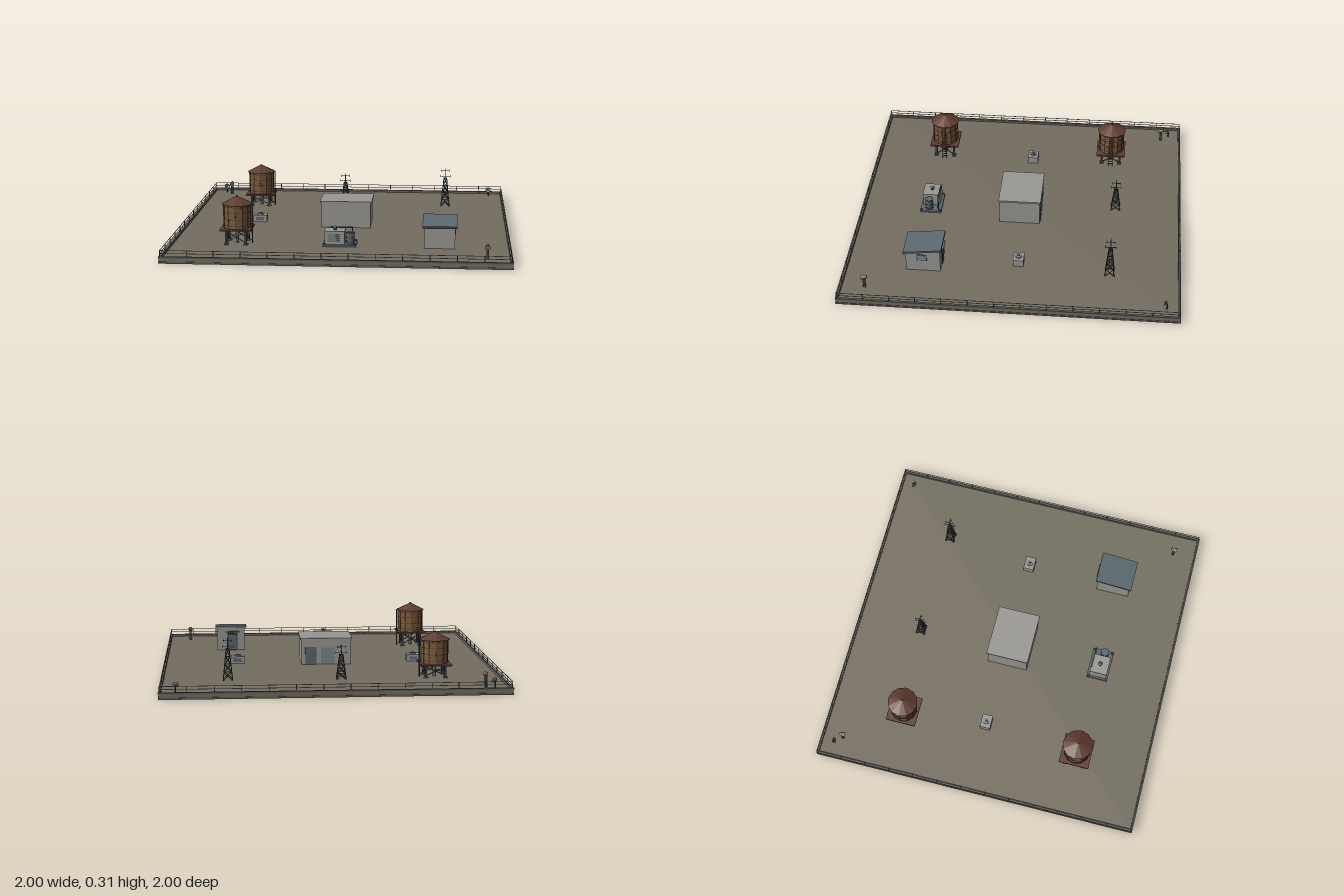
import * as THREE from 'three';

const mat = (name, color, side = THREE.FrontSide) =>
  Object.assign(new THREE.MeshStandardMaterial({ color, side }), { name });

export function createModel() {
  const M = {
    floor: mat('roof gravel', 0x746e60),
    concrete: mat('pale concrete', 0x999894),
    dark: mat('dark steel', 0x3b4045),
    coping: mat('grey coping', 0x5f5d58),
    rail: mat('galvanised metal', 0x8a8d8e),
    wood: mat('tank wood', 0x7a5a38),
    rust: mat('rusty roof', 0x5f3c31),
    slate: mat('blue grey metal', 0x5c6870),
    glass: mat('window panel', 0x76868f),
    brass: mat('lamp tan', 0x8a7355, THREE.DoubleSide),
  };
  const FLOOR = 0.025;
  const root = new THREE.Group();
  root.name = 'rooftop';

  const group = (name, x = 0, z = 0, y = FLOOR) => {
    const g = new THREE.Group();
    g.name = name;
    g.position.set(x, y, z);
    root.add(g);
    return g;
  };
  const add = (parent, name, geo, material, x = 0, y = 0, z = 0) => {
    const m = new THREE.Mesh(geo, material);
    m.name = name;
    m.position.set(x, y, z);
    parent.add(m);
    return m;
  };
  // Boxes and cylinders are placed by the middle of their base
  const box = (p, name, material, w, h, d, x, y, z) =>
    add(p, name, new THREE.BoxGeometry(w, h, d), material, x, y + h / 2, z);
  const cyl = (p, name, material, r0, r1, h, n, x, y, z) =>
    add(p, name, new THREE.CylinderGeometry(r1, r0, h, n), material, x, y + h / 2, z);
  // Square bar between two points
  const bar = (p, name, material, a, b, t) => {
    const A = new THREE.Vector3(...a), B = new THREE.Vector3(...b);
    const m = add(p, name, new THREE.BoxGeometry(t, t, A.distanceTo(B)), material);
    m.position.copy(A).add(B).multiplyScalar(0.5);
    m.quaternion.setFromUnitVectors(new THREE.Vector3(0, 0, 1), B.sub(A).normalize());
    return m;
  };
  const CORNERS = [[1, 1], [1, -1], [-1, -1], [-1, 1]];

  // Roof slab, parapet and guard rail
  const base = group('roofDeck', 0, 0, 0);
  box(base, 'slab', M.floor, 1.99, FLOOR, 1.99, 0, 0, 0);
  for (let i = 0; i < 4; i++) {
    const side = new THREE.Group();
    side.name = 'parapetSide';
    side.rotation.y = i * Math.PI / 2;
    base.add(side);
    box(side, 'lowerBand', M.coping, 2, 0.011, 0.012, 0, 0, 0.994);
    box(side, 'parapetWall', M.floor, 1.994, 0.02, 0.012, 0, 0.011, 0.991);
    box(side, 'coping', M.coping, 2, 0.009, 0.014, 0, 0.031, 0.993);
    for (const y of [0.056, 0.073]) box(side, 'guardRail', M.rail, 1.988, 0.003, 0.003, 0, y, 0.992);
    for (let k = 0; k < 13; k++)
      box(side, 'railPost', M.dark, 0.004, 0.036, 0.004, -0.992 + k * 1.984 / 13, 0.04, 0.992);
  }

  // Central stair house with openings at the back
  const hut = group('stairHouse');
  box(hut, 'walls', M.concrete, 0.305, 0.156, 0.25, 0, 0, 0);
  box(hut, 'roofCap', M.concrete, 0.322, 0.011, 0.262, 0, 0.154, 0);
  box(hut, 'door', M.slate, 0.07, 0.11, 0.006, 0.095, 0, -0.126);
  box(hut, 'shutter', M.glass, 0.085, 0.1, 0.006, -0.01, 0.005, -0.126);
  box(hut, 'handle', M.dark, 0.005, 0.012, 0.005, 0.07, 0.05, -0.13);

  // Water tanks on braced stands
  function waterTank(z, lift) {
    const g = group('waterTank', -0.613, z);
    const deck = 0.07 + lift, top = deck + 0.15;
    for (let i = 0; i < 4; i++) {
      const [a, b] = CORNERS[i], [c, d] = CORNERS[(i + 1) % 4], s = 0.058;
      box(g, 'leg', M.dark, 0.013, deck, 0.013, a * s, 0, b * s);
      box(g, 'footPlate', M.slate, 0.026, 0.006, 0.026, a * s, 0, b * s);
      bar(g, 'brace', M.dark, [a * s, 0.012, b * s], [c * s, deck - 0.006, d * s], 0.004);
      bar(g, 'brace', M.dark, [c * s, 0.012, d * s], [a * s, deck - 0.006, b * s], 0.004);
    }
    box(g, 'platform', M.rust, 0.185, 0.01, 0.185, 0, deck, 0);
    const r = 0.081, n = 12;
    const barrel = new THREE.CylinderGeometry(r, r, top - deck - 0.01, n).toNonIndexed();
    barrel.computeVertexNormals();
    add(g, 'barrel', barrel, M.wood, 0, (top + deck + 0.01) / 2, 0);
    for (const f of [0.12, 0.4, 0.68, 0.93])
      add(g, 'hoop', new THREE.CylinderGeometry(r + 0.0015, r + 0.0015, 0.003, n, 1), M.dark,
        0, deck + 0.01 + f * 0.138, 0);
    for (let k = 0; k < n; k++) {
      const t = k / n * Math.PI * 2;
      box(g, 'staveSeam', M.rust, 0.003, 0.138, 0.003, Math.sin(t) * r, deck + 0.01, Math.cos(t) * r);
    }
    const cone = new THREE.CylinderGeometry(0.002, 0.092, 0.045, n).toNonIndexed();
    cone.computeVertexNormals();
    add(g, 'conicalRoof', cone, M.rust, 0, top + 0.0225, 0);
    cyl(g, 'finial', M.dark, 0.006, 0.004, 0.008, 8, 0, top + 0.041, 0);
    // Ladder on the inner side
    for (const s of [-1, 1]) box(g, 'ladderRail', M.dark, 0.004, top, 0.004, 0.09, 0, s * 0.013);
    for (let y = 0.015; y < top; y += 0.016) box(g, 'rung', M.dark, 0.003, 0.003, 0.026, 0.09, y, 0);
    cyl(g, 'outletPipe', M.slate, 0.01, 0.01, deck, 10, 0, 0, 0);
  }
  waterTank(0.56, 0.016);
  waterTank(-0.54, 0.002);

  // Lattice aerial masts
  function mast(x, z, h, tip) {
    const g = group('aerialMast', x, z);
    const at = (i, t) => {
      const [a, b] = CORNERS[i % 4], s = 0.027 - 0.018 * t;
      return [a * s, h * t, b * s];
    };
    for (let i = 0; i < 4; i++) {
      bar(g, 'mastLeg', M.dark, at(i, 0), at(i, 1), 0.005);
      for (let k = 0; k < 4; k++) {
        bar(g, 'lattice', M.dark, at(i, k / 4), at(i + 1, (k + 1) / 4), 0.003);
        bar(g, 'lattice', M.dark, at(i + 1, k / 4), at(i, (k + 1) / 4), 0.003);
        bar(g, 'ring', M.dark, at(i, (k + 1) / 4), at(i + 1, (k + 1) / 4), 0.003);
      }
    }
    cyl(g, 'spike', M.dark, 0.003, 0.002, tip - h, 6, 0, h, 0);
    for (const [y, w] of [[h + 0.012, 0.032], [tip - 0.016, 0.025]]) {
      bar(g, 'aerialArm', M.slate, [-w, y, 0], [w, y, 0], 0.003);
      bar(g, 'aerialArm', M.slate, [0, y, -w], [0, y, w], 0.003);
      for (const [a, b] of [[1, 0], [-1, 0], [0, 1], [0, -1]])
        box(g, 'aerialTip', M.slate, 0.003, 0.016, 0.003, a * w, y - 0.008, b * w);
    }
  }
  mast(-0.055, -0.59, 0.145, 0.205);
  mast(0.61, -0.578, 0.185, 0.25);

  // Small fan boxes
  for (const x of [-0.552, 0.547]) {
    const g = group('fanBox', x, -0.03);
    box(g, 'casing', M.concrete, 0.084, 0.042, 0.064, 0, 0, 0);
    cyl(g, 'fanCollar', M.rail, 0.02, 0.02, 0.008, 16, 0, 0.042, 0);
    cyl(g, 'fanHub', M.dark, 0.009, 0.009, 0.003, 12, 0, 0.05, 0);
    for (const s of [-1, 1]) box(g, 'grille', M.slate, 0.05, 0.02, 0.003, 0, 0.01, s * 0.032);
  }

  // Cooling plant with a side drum
  const plant = group('coolingPlant', -0.002, 0.568);
  box(plant, 'skid', M.slate, 0.196, 0.012, 0.132, 0, 0, 0);
  for (const [a, b] of CORNERS) cyl(plant, 'bolt', M.dark, 0.007, 0.007, 0.008, 8, a * 0.089, 0.01, b * 0.057);
  box(plant, 'cabinet', M.concrete, 0.116, 0.074, 0.105, -0.028, 0.012, 0.002);
  box(plant, 'cabinetLid', M.concrete, 0.12, 0.004, 0.109, -0.028, 0.086, 0.002);
  cyl(plant, 'ventPipe', M.dark, 0.01, 0.01, 0.018, 12, -0.028, 0.09, 0.002);
  cyl(plant, 'ventCap', M.rail, 0.013, 0.006, 0.006, 12, -0.028, 0.106, 0.002);
  cyl(plant, 'drum', M.slate, 0.024, 0.024, 0.068, 16, 0.062, 0.012, 0.012);
  for (const y of [0.02, 0.045, 0.074]) cyl(plant, 'drumBand', M.dark, 0.026, 0.026, 0.004, 16, 0.062, y, 0.012);
  bar(plant, 'pipe', M.dark, [-0.06, 0.094, -0.046], [0.07, 0.094, -0.046], 0.007);
  box(plant, 'pipeDrop', M.dark, 0.007, 0.085, 0.007, 0.07, 0.012, -0.046);
  for (let i = 0; i < 4; i++) box(plant, 'louvre', M.slate, 0.07, 0.005, 0.003, -0.035, 0.03 + i * 0.012, 0.055);

  // Equipment shed with a roof sloping to the front
  const shed = group('equipmentShed', 0.585, 0.53);
  const profile = new THREE.Shape([[-0.103, 0], [0.103, 0], [0.103, 0.15], [-0.103, 0.127]]
    .map(p => new THREE.Vector2(...p)));
  const walls = new THREE.ExtrudeGeometry(profile, { depth: 0.18, bevelEnabled: false });
  walls.translate(0, 0, -0.09).rotateY(Math.PI / 2);
  add(shed, 'walls', walls, M.concrete);
  const roof = box(shed, 'slopingRoof', M.slate, 0.202, 0.012, 0.23, 0, 0.136, 0.002);
  roof.rotation.x = 0.111;
  box(shed, 'eavesTrim', M.dark, 0.204, 0.01, 0.005, 0, 0.121, 0.114);
  box(shed, 'door', M.dark, 0.066, 0.11, 0.006, -0.01, 0, -0.104);
  box(shed, 'doorPanel', M.slate, 0.05, 0.095, 0.004, -0.01, 0.005, -0.107);
  box(shed, 'doorCanopy', M.slate, 0.09, 0.006, 0.02, -0.01, 0.117, -0.108);
  box(shed, 'sideFrame', M.dark, 0.004, 0.044, 0.06, 0.091, 0.072, 0.006);
  box(shed, 'sideWindow', M.glass, 0.004, 0.036, 0.052, 0.0925, 0.076, 0.006);

  // Corner floodlights
  for (const [x, z] of [[-0.863, -0.868], [0.858, 0.852]]) {
    const g = group('floodlight', x, z);
    box(g, 'post', M.dark, 0.014, 0.078, 0.014, 0, 0, 0);
    const head = cyl(g, 'lampHead', M.brass, 0.008, 0.015, 0.036, 10, 0, 0.054, 0);
    head.rotation.x = Math.PI / 2 + 0.2;
  }

  // Satellite dishes at the back corners
  for (const s of [-1, 1]) {
    const g = group('satelliteDish', s * 0.906, -0.915);
    cyl(g, 'dishPost', M.dark, 0.004, 0.004, 0.038, 8, 0, 0, -0.004);
    const bowl = [[0, 0], [0.008, 0.001], [0.014, 0.004], [0.018, 0.008]].map(p => new THREE.Vector2(...p));
    const dish = new THREE.Group();
    dish.name = 'dish';
    dish.position.set(0, 0.04, 0);
    dish.rotation.set(1.15, 0, s * 0.3);
    g.add(dish);
    add(dish, 'bowl', new THREE.LatheGeometry(bowl, 16), M.brass).material = M.dishMetal ??= mat('dish grey', 0x62666a, THREE.DoubleSide);
    bar(dish, 'feedArm', M.dark, [0, 0, 0], [0, 0.02, 0], 0.003);
  }

  return root;
}
